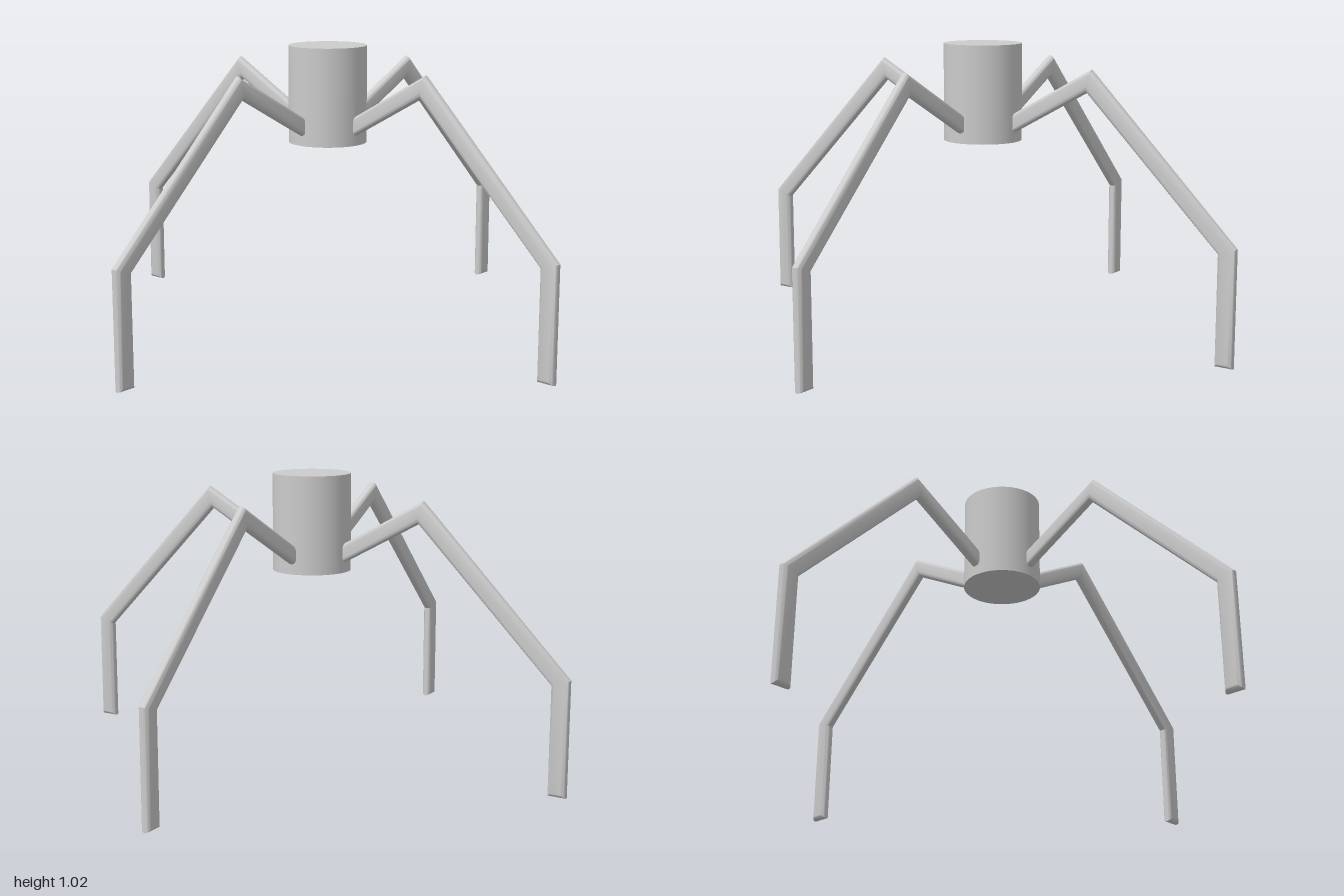
import * as THREE from 'three';
import { toCreasedNormals } from 'three/addons/utils/BufferGeometryUtils.js';

const material = new THREE.MeshStandardMaterial({ color: 0xcccccc });

// Bent leg: side outline (radius, height) swept to a thin slab with fully rounded edges
function legGeometry() {
  const outline = [
    [0.09, 0.69], [0.43, 0.873], [0.928, 0.378], [0.928, 0],
    [0.993, 0], [0.993, 0.4], [0.446, 0.952], [0.09, 0.758],
  ].map(([r, y]) => new THREE.Vector2(r, y));
  const round = 0.017;
  const geometry = new THREE.ExtrudeGeometry(new THREE.Shape(outline), {
    depth: 0.002,
    bevelThickness: round,
    bevelSize: round,
    bevelOffset: -round,
    bevelSegments: 6,
  });
  geometry.translate(0, 0, -0.001);
  return toCreasedNormals(geometry, 0.6);
}

export function createModel() {
  const model = new THREE.Group();
  model.name = 'fourLeggedWalker';

  // Upright drum in the middle
  const body = new THREE.Mesh(new THREE.CylinderGeometry(0.139, 0.139, 0.345, 64), material);
  body.name = 'body';
  body.position.y = 0.8525;
  model.add(body);

  // Four legs; the side pair is turned very slightly
  const geometry = legGeometry();
  const legs = [
    ['leftLeg', 0.015],
    ['backLeg', Math.PI / 2],
    ['rightLeg', Math.PI + 0.015],
    ['frontLeg', -Math.PI / 2],
  ];
  for (const [name, yaw] of legs) {
    const leg = new THREE.Mesh(geometry, material);
    leg.name = name;
    leg.rotation.y = yaw;
    model.add(leg);
  }
  return model;
}
